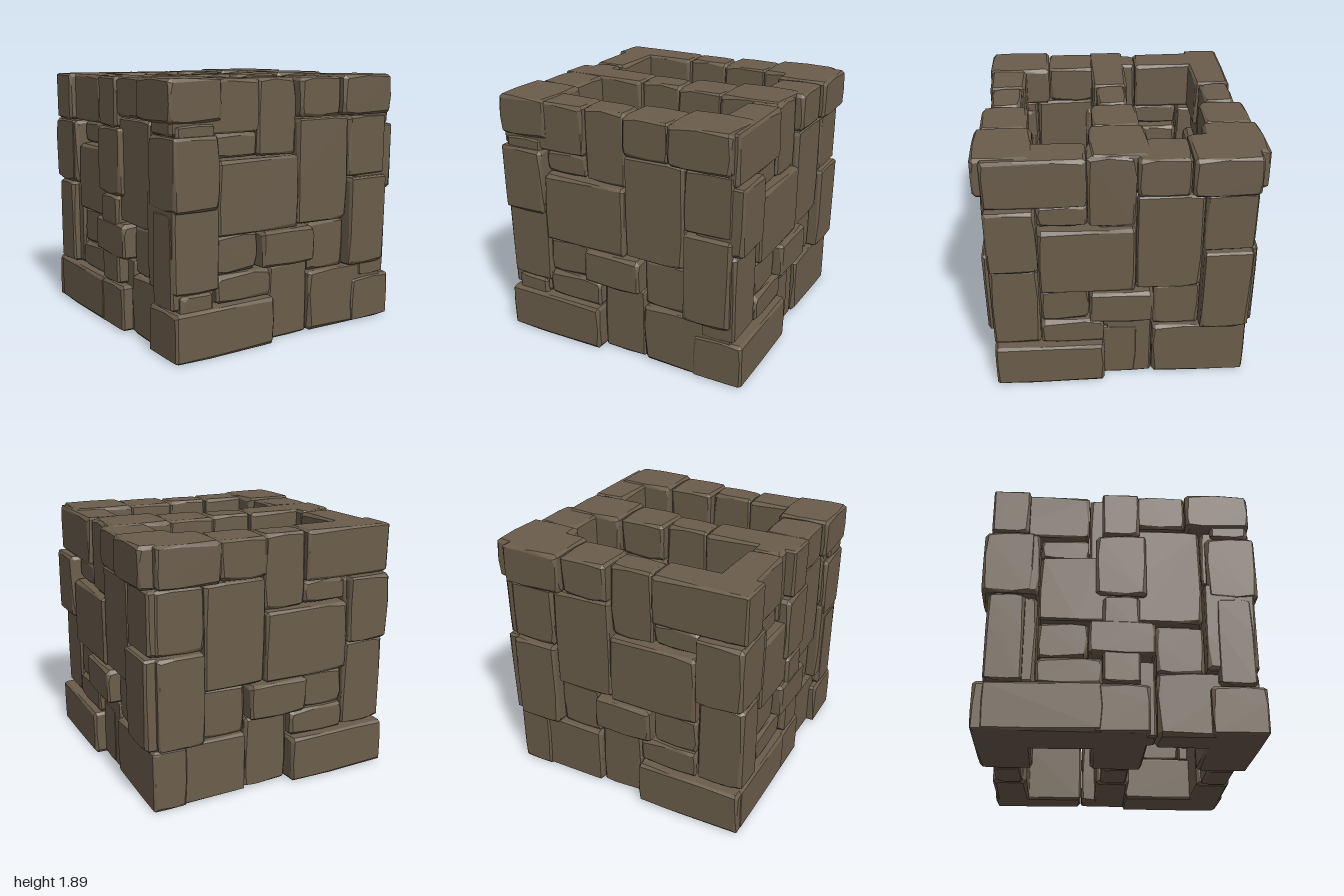
import * as THREE from 'three';
import { ConvexGeometry } from 'three/addons/geometries/ConvexGeometry.js';

// Stones of one wall: left, right, bottom, top, half thickness
const STONES = [
  // footing
  [-0.98, -0.17, 0, 0.345, 0.19],
  [-0.165, 0.185, 0, 0.55, 0.1],
  [0.19, 0.895, 0, 0.455, 0.13],
  // lower courses
  [-0.63, -0.175, 0.355, 0.55, 0.14],
  [-0.98, -0.635, 0.355, 1.015, 0.13],
  [-0.625, -0.28, 0.555, 0.82, 0.12],
  [-0.275, 0.185, 0.56, 0.82, 0.19],
  [0.195, 0.53, 0.46, 0.82, 0.1],
  [0.535, 0.89, 0.46, 1.13, 0.18],
  // upper courses
  [-0.625, 0.055, 0.825, 1.34, 0.16],
  [0.06, 0.525, 0.83, 1.59, 0.145],
  [0.53, 0.89, 1.14, 1.59, 0.15],
  [-0.98, -0.63, 1.02, 1.515, 0.18],
  [-0.625, -0.28, 1.35, 1.515, 0.1],
  // coping
  [-0.98, -0.28, 1.52, 1.88, 0.135],
  [-0.275, 0.055, 1.345, 1.88, 0.11],
  [0.06, 0.42, 1.6, 1.88, 0.165],
  [0.425, 0.89, 1.6, 1.89, 0.2],
];

let seed = 7;
function random() {
  seed = (seed * 16807) % 2147483647;
  return seed / 2147483647;
}

// A block with unevenly chipped edges: every flat face is inset from the edges
// by a varying amount and the convex hull joins the faces with bevels.
function stoneGeometry(w, h, d) {
  const half = [w / 2, h / 2, d / 2];
  const points = [];
  for (let axis = 0; axis < 3; axis++) {
    const a = (axis + 1) % 3, b = (axis + 2) % 3;
    for (const side of [-1, 1]) {
      for (let i = -1; i <= 1; i++) {
        for (let j = -1; j <= 1; j++) {
          if (!i && !j) continue;
          const chip = i && j ? 0.012 + 0.02 * random() : 0.008 + 0.01 * random();
          const p = [0, 0, 0];
          p[axis] = side * half[axis];
          p[a] = i ? i * (half[a] - chip) : half[a] * (random() - 0.5);
          p[b] = j ? j * (half[b] - chip) : half[b] * (random() - 0.5);
          points.push(new THREE.Vector3(...p));
        }
      }
    }
  }
  return new ConvexGeometry(points);
}

export function createModel() {
  const model = new THREE.Group();
  model.name = 'stoneWalls';
  const material = new THREE.MeshStandardMaterial({ color: 0x6b5d4b, flatShading: true });

  const geometries = STONES.map(([x0, x1, y0, y1, t]) =>
    stoneGeometry(x1 - x0, y1 - y0, 2 * t).translate((x0 + x1) / 2, (y0 + y1) / 2, 0));

  function addWall(name, x, z, turn) {
    const wall = new THREE.Group();
    wall.name = name;
    geometries.forEach((geometry, i) => {
      const stone = new THREE.Mesh(geometry, material);
      stone.name = `stone${i + 1}`;
      wall.add(stone);
    });
    wall.position.set(x, 0, z);
    wall.rotation.y = turn;
    model.add(wall);
  }

  // Three parallel walls joined by a wall at each end
  addWall('frontWall', 0, 0.79, 0);
  addWall('middleWall', 0, 0, 0);
  addWall('backWall', 0, -0.8, 0);
  addWall('leftWall', 0.79, -0.05, Math.PI / 2);
  addWall('rightWall', -0.795, 0.05, -Math.PI / 2);
  return model;
}
